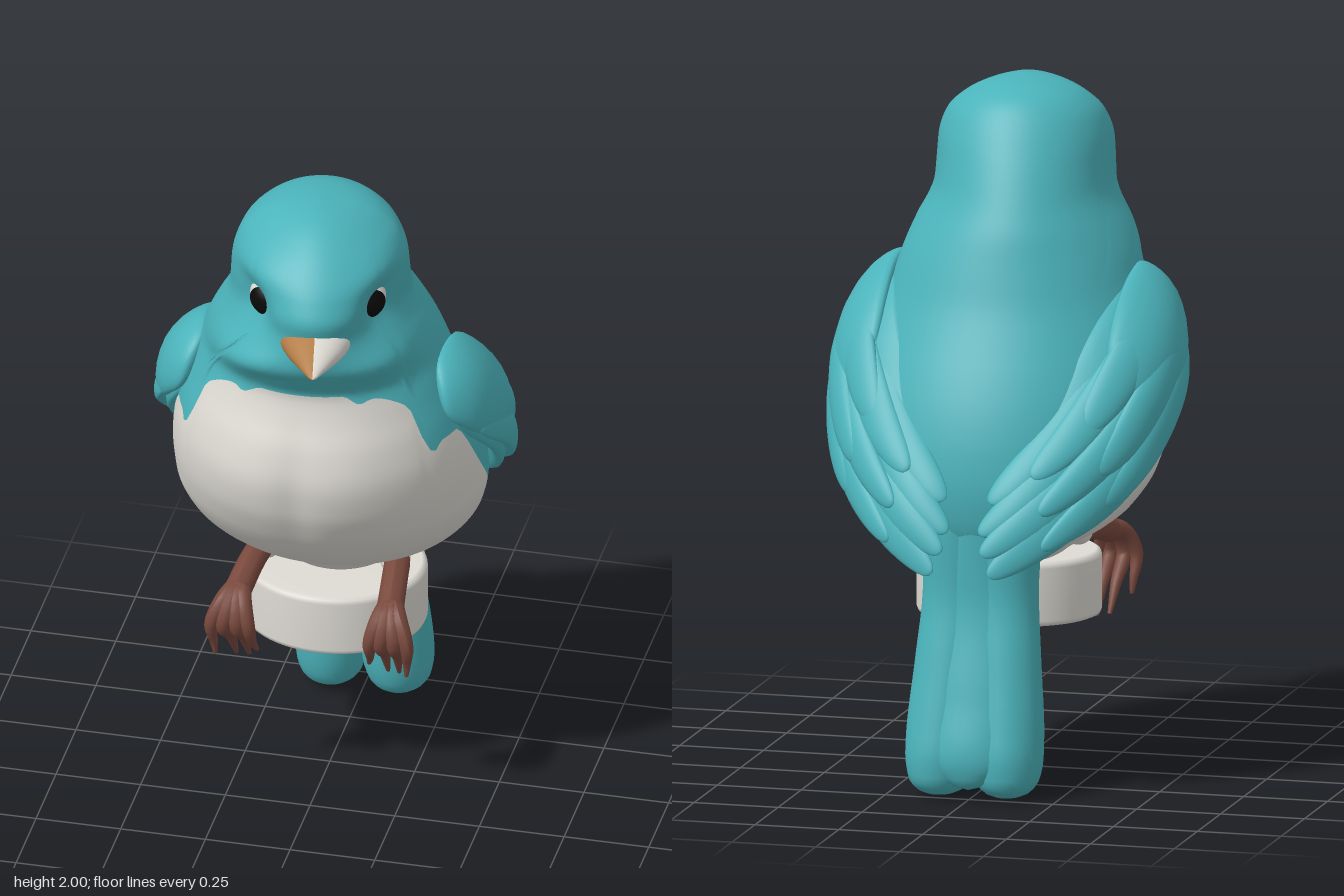
import * as THREE from 'three';

const mat = (name, color) => Object.assign(new THREE.MeshStandardMaterial({ color }), { name });
const YAW = 0.18, HEAD_X = 0.012, HEAD_Z = 0.17;

// Smooth monotone interpolation through rows of [y, a, b, ...]
function profile(rows) {
  const slope = (i, k) => (rows[i + 1][k] - rows[i][k]) / (rows[i + 1][0] - rows[i][0]);
  const tangent = (i, k) => {
    if (i === 0) return slope(0, k);
    if (i === rows.length - 1) return slope(i - 1, k);
    const p = slope(i - 1, k), q = slope(i, k);
    return p * q <= 0 ? 0 : (2 * p * q) / (p + q);
  };
  return y => {
    let i = 0;
    while (i < rows.length - 2 && y > rows[i + 1][0]) i++;
    const h = rows[i + 1][0] - rows[i][0];
    const t = Math.min(1, Math.max(0, (y - rows[i][0]) / h)), t2 = t * t, t3 = t2 * t;
    return rows[i].slice(1).map((_, j) => {
      const k = j + 1;
      return (2 * t3 - 3 * t2 + 1) * rows[i][k] + (t3 - 2 * t2 + t) * h * tangent(i, k)
        + (3 * t2 - 2 * t3) * rows[i + 1][k] + (t3 - t2) * h * tangent(i + 1, k);
    });
  };
}

// Closed tube surface: f(angle, v) gives a point; rows below split use group 0, the rest group 1
function skin(n, m, f, { side = 1, split = 0 } = {}) {
  const pos = [], index = [];
  for (let j = 0; j <= m; j++) for (let i = 0; i < n; i++) {
    const p = f((i / n) * Math.PI * 2, j / m);
    pos.push(p.x * side, p.y, p.z);
  }
  for (let j = 0; j < m; j++) for (let i = 0; i < n; i++) {
    const a = j * n + i, b = j * n + (i + 1) % n, c = b + n, d = a + n;
    if (side > 0) index.push(a, b, c, a, c, d); else index.push(a, c, b, a, d, c);
  }
  const g = new THREE.BufferGeometry();
  g.setAttribute('position', new THREE.Float32BufferAttribute(pos, 3));
  g.setIndex(index);
  g.computeVertexNormals();
  if (split) {
    g.addGroup(0, split * n * 6, 0);
    g.addGroup(split * n * 6, (m - split) * n * 6, 1);
  }
  return g;
}

// Upright loft from rows of [y, centre x, half width, front z, back z]
function loft(rows, side = 1) {
  const at = profile(rows), y0 = rows[0][0], y1 = rows[rows.length - 1][0];
  return skin(28, 36, (a, v) => {
    const y = y0 + (y1 - y0) * (1 - Math.cos(v * Math.PI)) / 2;
    const [cx, rx, front, back] = at(y);
    return new THREE.Vector3(cx + rx * Math.sin(a), y, (front + back) / 2 + (front - back) / 2 * Math.cos(a));
  }, { side });
}

// Body and head: [y, half width, front z, back z]
const bodyAt = profile([
  [0.64, 0, -0.16, -0.16], [0.65, 0.14, 0, -0.3], [0.7, 0.225, 0.06, -0.42], [0.75, 0.31, 0.14, -0.46],
  [0.8, 0.37, 0.22, -0.475], [0.9, 0.43, 0.335, -0.485], [1, 0.45, 0.41, -0.475], [1.1, 0.45, 0.455, -0.45],
  [1.2, 0.44, 0.47, -0.41], [1.3, 0.415, 0.455, -0.36], [1.4, 0.38, 0.42, -0.312], [1.47, 0.355, 0.405, -0.288],
  [1.53, 0.338, 0.437, -0.268], [1.6, 0.308, 0.478, -0.245], [1.65, 0.28, 0.486, -0.222], [1.7, 0.262, 0.488, -0.198],
  [1.76, 0.258, 0.5, -0.168], [1.82, 0.253, 0.475, -0.135], [1.9, 0.225, 0.41, -0.085], [1.95, 0.175, 0.345, -0.04],
  [1.98, 0.115, 0.285, 0.02], [1.995, 0.05, 0.225, 0.09], [2, 0, 0.17, 0.17]]);
// Soft swellings and hollows: [angle, y, angle spread, y spread, amount]
const BUMPS = [
  [0.75, 1.585, 0.4, 0.065, 0.036], [0.98, 1.755, 0.28, 0.065, -0.034], [0.9, 1.865, 0.45, 0.05, 0.018],
  [0, 1.1, 0.12, 0.2, -0.012], [0.35, 1.2, 0.25, 0.15, 0.008]];

function bodyPoint(a, y) {
  const [rx, front, back] = bodyAt(y);
  const head = THREE.MathUtils.smoothstep(y, 1.42, 1.65);
  const s = Math.sin(a), c = Math.cos(a), off = Math.abs(Math.atan2(s, c));
  let d = 0;
  for (const [a0, y0, sa, sy, k] of BUMPS) d += k * Math.exp(-(((off - a0) / sa) ** 2) - ((y - y0) / sy) ** 2);
  const x = rx * s * (1 - 0.22 * head * Math.max(0, c)) + d * s;
  const z = (front + back) / 2 + (front - back) / 2 * c + d * c - HEAD_Z;
  const cy = Math.cos(YAW * head), sy = Math.sin(YAW * head);
  return new THREE.Vector3(HEAD_X * head + x * cy + z * sy, y, HEAD_Z - x * sy + z * cy);
}

// Height of the pale belly's edge by angle from the front
const bellyEdge = profile([
  [0, 1.475], [0.35, 1.475], [0.5, 1.445], [0.6, 1.455], [0.85, 1.42], [0.93, 1.38], [0.98, 1.27], [1.05, 1.25],
  [1.12, 1.27], [1.3, 1.27], [1.5, 1.1], [1.85, 0.87], [2.13, 0.81], [2.22, 0.67], [Math.PI, 0.66]]);

// Wing surface: u along the spine, v across it, h outward
const spine = new THREE.CatmullRomCurve3([
  [0.36, 1.375, 0.18], [0.415, 1.36, 0.08], [0.445, 1.24, -0.12], [0.365, 1.02, -0.345], [0.215, 0.84, -0.515], [0.065, 0.7, -0.6],
].map(p => new THREE.Vector3(...p)));
function wingPoint(u, v, h) {
  const p = spine.getPointAt(u), t = spine.getTangentAt(u);
  const n = new THREE.Vector3(p.x, (p.y - 1.05) / 2 + 0.28 * u, p.z + 0.02);
  n.addScaledVector(t, -n.dot(t)).normalize();
  const b = n.clone().cross(t);
  return p.addScaledVector(b, v).addScaledVector(n, h - (v > 0 ? 1.8 : 1) * v * v);
}
// Feathers: [name, u start, u end, v start, v end, half width, lift, thickness]
const FEATHERS = [
  ['wingBase', 0, 0.92, 0.01, 0.02, 0.195, -0.012, 0.04],
  ['primaryFeather', 0.2, 1, -0.1, -0.03, 0.075, 0, 0.024], ['primaryFeather', 0.2, 0.98, -0.04, 0.03, 0.075, 0.004, 0.024],
  ['primaryFeather', 0.2, 0.95, 0.03, 0.08, 0.07, 0, 0.024], ['primaryFeather', 0.2, 0.88, 0.09, 0.13, 0.065, 0, 0.022],
  ['secondaryFeather', 0.2, 0.86, -0.11, -0.07, 0.06, 0.016, 0.024], ['secondaryFeather', 0.2, 0.81, -0.02, 0.01, 0.065, 0.022, 0.026],
  ['secondaryFeather', 0.2, 0.76, 0.08, 0.1, 0.065, 0.016, 0.024],
  ['covertFeather', 0.12, 0.68, -0.11, -0.1, 0.06, 0.028, 0.024], ['covertFeather', 0.12, 0.64, -0.02, -0.02, 0.068, 0.036, 0.026],
  ['covertFeather', 0.12, 0.58, 0.08, 0.09, 0.068, 0.028, 0.024],
  ['shoulderPatch', 0, 0.45, 0.01, 0.03, 0.165, 0.02, 0.045]];

// Tapered tube for legs and toes
function taper(points, r0, r1, side) {
  const curve = new THREE.CatmullRomCurve3(points.map(p => new THREE.Vector3(p[0] * side, p[1], p[2])));
  const n = 18, g = new THREE.TubeGeometry(curve, n, r0, 10), pos = g.attributes.position, v = new THREE.Vector3();
  for (let i = 0; i < pos.count; i++) {
    const t = Math.floor(i / 11) / n;
    v.fromBufferAttribute(pos, i).lerp(curve.getPointAt(t), t * t * (1 - r1 / r0));
    pos.setXYZ(i, v.x, v.y, v.z);
  }
  g.computeVertexNormals();
  return g;
}

export function createModel() {
  const bird = new THREE.Group();
  bird.name = 'perchedBird';
  const teal = mat('tealPlumage', 0x4bb3bb), white = mat('paleBelly', 0xdedbd4), orange = mat('orangeBeak', 0xb27c46);
  const brown = mat('brownFeet', 0x7a4a3e), black = mat('blackPupil', 0x0a0a0a);
  const add = (name, geometry, material, parent = bird) => {
    const m = new THREE.Mesh(geometry, material);
    m.name = name;
    parent.add(m);
    return m;
  };

  // Body with the belly edge on a grid line
  add('body', skin(144, 110, (a, v) => {
    const edge = bellyEdge(a > Math.PI ? 2 * Math.PI - a : a)[0];
    const y = v <= 0.5 ? 0.64 + (edge - 0.64) * (1 - Math.cos(v * Math.PI)) : edge + (2 - edge) * Math.sin((v - 0.5) * Math.PI);
    return bodyPoint(a, y);
  }, { split: 55 }), [white, teal]);

  // Beak in two coloured halves, dipping slightly to the tip
  const beak = new THREE.Group();
  beak.name = 'beak';
  beak.position.set(HEAD_X, 1.7, HEAD_Z);
  beak.rotation.y = YAW;
  bird.add(beak);
  const beakProfile = [[0.11, 0.22], [0.105, 0.27], [0.076, 0.335], [0.042, 0.395], [0.013, 0.445], [0, 0.458]].map(p => new THREE.Vector2(...p));
  [['beakLeft', 0, white], ['beakRight', Math.PI, orange]].forEach(([name, start, m]) =>
    add(name, new THREE.LatheGeometry(beakProfile, 16, start, Math.PI).rotateX(Math.PI / 2).scale(1, 0.62, 1).rotateX(0.07), m, beak));

  for (const side of [1, -1]) {
    const label = side > 0 ? 'left' : 'right';

    // Eye: sunken ball with a dark cap turned forward
    const a = 1.0 * side, y = 1.757, p = bodyPoint(a, y);
    const n = bodyPoint(a + 0.05, y).sub(bodyPoint(a - 0.05, y)).cross(bodyPoint(a, y + 0.01).sub(bodyPoint(a, y - 0.01))).normalize();
    const eye = new THREE.Group();
    eye.name = label + 'Eye';
    eye.position.copy(p).addScaledVector(n, -0.042);
    bird.add(eye);
    add('eyeWhite', new THREE.SphereGeometry(0.068, 28, 20), white, eye);
    const pupil = add('pupil', new THREE.SphereGeometry(0.07, 28, 10, 0, Math.PI * 2, 0, 0.8), black, eye);
    const look = n.clone().applyAxisAngle(new THREE.Vector3(0, 1, 0), -0.5 * side);
    pupil.quaternion.setFromUnitVectors(new THREE.Vector3(0, 1, 0), look);

    // Wing of layered feathers
    const wing = new THREE.Group();
    wing.name = label + 'Wing';
    bird.add(wing);
    for (const [name, u0, u1, v0, v1, w, lift, thick] of FEATHERS) {
      add(name, skin(24, 32, (ang, q) => {
        const s = (1 - Math.cos(q * Math.PI)) / 2;
        const round = Math.pow(Math.max(0, 4 * s * (1 - s)), 0.4) * (1 - 0.12 * s);
        return wingPoint(u0 + (u1 - u0) * s, v0 + (v1 - v0) * s + w * round * Math.cos(ang),
          lift + thick * round * Math.sin(ang) * (Math.sin(ang) < 0 ? 1.3 : 1));
      }, { side }), teal, wing);
    }

    // Tail lobe
    add(label + 'TailLobe', loft([
      [0, 0.1, 0, -0.45, -0.45], [0.012, 0.1, 0.055, -0.39, -0.51], [0.05, 0.1, 0.09, -0.345, -0.55],
      [0.12, 0.098, 0.104, -0.325, -0.555], [0.2, 0.095, 0.106, -0.317, -0.54], [0.4, 0.082, 0.102, -0.3, -0.495],
      [0.6, 0.07, 0.1, -0.28, -0.46], [0.8, 0.07, 0.11, -0.27, -0.465], [1, 0.07, 0.07, -0.3, -0.42]], side), teal);

    // Leg, tuft and gripping toes
    const foot = new THREE.Group();
    foot.name = label + 'Foot';
    bird.add(foot);
    add('legTuft', new THREE.SphereGeometry(0.045, 20, 14).translate(0.19 * side, 0.705, -0.01), white, foot);
    add('leg', taper([[0.2, 0.705, 0], [0.212, 0.695, 0.09], [0.225, 0.665, 0.2]], 0.038, 0.04, side), brown, foot);
    const toes = [[0.18, 0.165, 0.48, 0.21], [0.212, 0.205, 0.42, 0.14], [0.252, 0.24, 0.425, 0.15], [0.288, 0.282, 0.47, 0.24]];
    for (const [kx, tx, ty, tz] of toes)
      add('toe', taper([[0.222, 0.675, 0.16], [(kx + 0.225) / 2, 0.655, 0.235], [kx, 0.585, 0.265], [(kx + tx) / 2, 0.51, (0.25 + tz) / 2], [tx, ty, tz]],
        0.028, 0.006, side), brown, foot);
  }

  // Middle tail feather and undertail wedge
  add('middleTailFeather', loft([
    [0.03, 0, 0, -0.51, -0.51], [0.05, 0, 0.06, -0.47, -0.55], [0.12, 0, 0.115, -0.44, -0.566], [0.3, 0, 0.12, -0.4, -0.524],
    [0.6, 0, 0.11, -0.34, -0.464], [0.8, 0, 0.09, -0.35, -0.468]]), teal);
  add('undertailWedge', loft([
    [0.35, 0, 0, -0.32, -0.32], [0.38, 0, 0.03, -0.29, -0.36], [0.47, 0, 0.09, -0.235, -0.38], [0.56, 0, 0.13, -0.22, -0.4],
    [0.72, 0, 0.15, -0.22, -0.4]]), teal);

  // Round perch with softened rims, a little wider than deep
  const rim = [[0, 0.465], [0.225, 0.465], [0.236, 0.47], [0.24, 0.482], [0.24, 0.635], [0.236, 0.648], [0.225, 0.655], [0, 0.655]];
  add('perch', new THREE.LatheGeometry(rim.map(p => new THREE.Vector2(...p)), 64).scale(1.12, 1, 1).translate(0, 0, -0.062), white);
  return bird;
}
